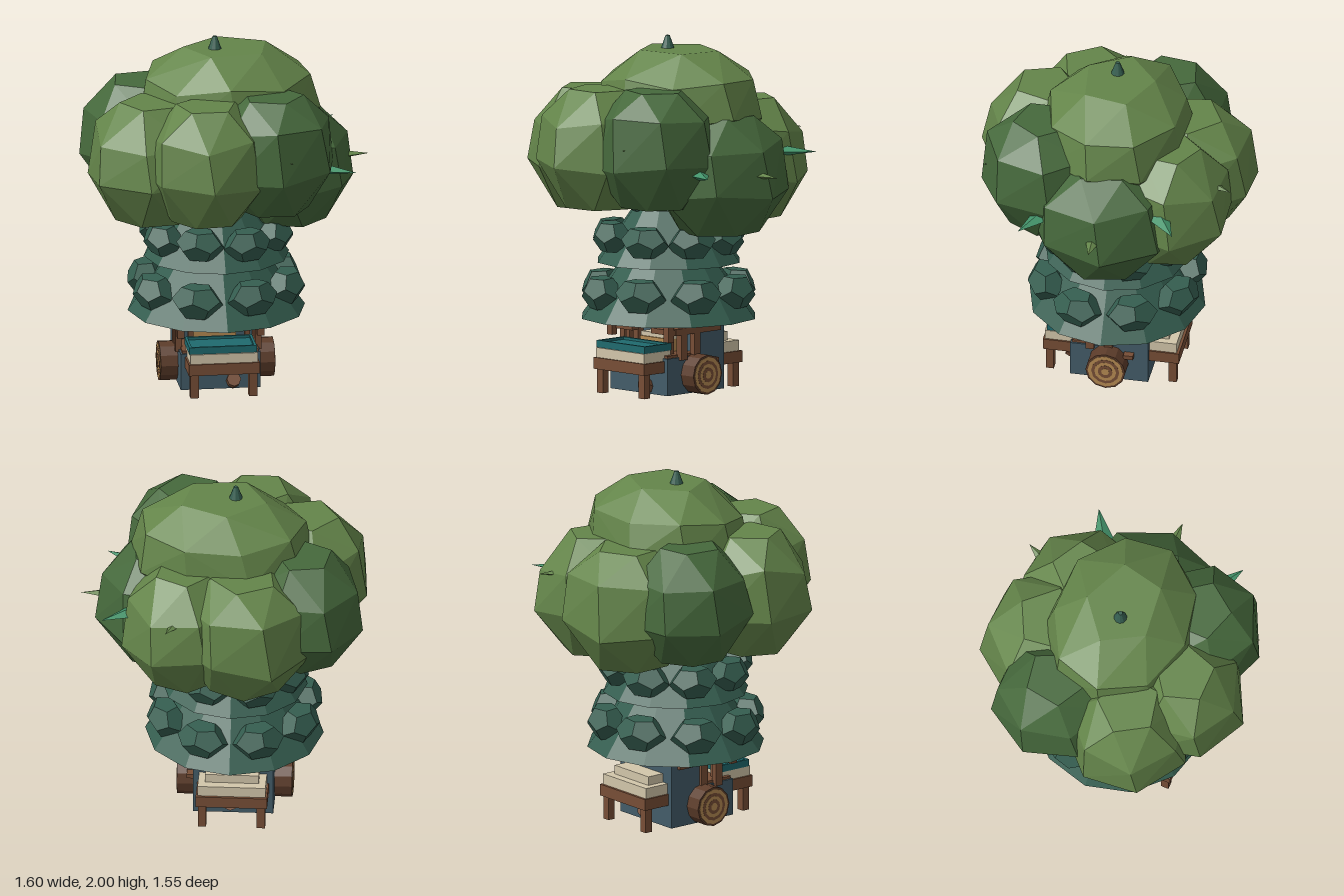
import * as THREE from 'three';
import { ConvexGeometry } from 'three/addons/geometries/ConvexGeometry.js';

const mat = (name, color) => {
  const m = new THREE.MeshStandardMaterial({ color, flatShading: true });
  m.name = name;
  return m;
};
const M = {
  light: mat('light foliage', 0x64854a),
  dark: mat('dark foliage', 0x46693c),
  sprout: mat('sprout green', 0x43936a),
  pine: mat('pine green', 0x355e50),
  slate: mat('slate blue', 0x435c69),
  cream: mat('cream', 0xd2c6aa),
  teal: mat('teal cushion', 0x1f6a6e),
  wood: mat('wood', 0x774e36),
  bark: mat('bark', 0x5c3c2a),
  tan: mat('cut wood', 0xb58a52),
};
const CX = -0.06, CZ = -0.018; // axis of the tree

export function createModel() {
  const model = new THREE.Group();
  model.name = 'treeHouse';
  let seed = 7;
  const rand = () => (seed = (seed * 16807) % 2147483647) / 2147483647;
  const jitter = (amount) => (rand() - 0.5) * 2 * amount;

  const add = (name, geo, material, x = 0, y = 0, z = 0, parent = model) => {
    const mesh = new THREE.Mesh(geo, material);
    mesh.name = name;
    mesh.position.set(x, y, z);
    parent.add(mesh);
    return mesh;
  };
  // box given by its limits on each axis
  const box = (name, material, x0, x1, y0, y1, z0, z1) =>
    add(name, new THREE.BoxGeometry(x1 - x0, y1 - y0, z1 - z0), material,
      (x0 + x1) / 2, (y0 + y1) / 2, (z0 + z1) / 2);

  // faceted foliage clump: hull of irregular rings with a flat top and bottom
  const clump = (name, material, x, y, z, rx, ry, rz, n, turn) => {
    const points = [];
    // height, width, corners, angular offset, irregularity
    [[0.95, 0.5, 5, 0.5, 0], [0.45, 0.93, n, 0.1, 0.06], [-0.25, 1.03, n, 0, 0.05], [-0.95, 0.58, n - 1, 0.4, 0]]
      .forEach(([h, w, count, offset, rough]) => {
        for (let i = 0; i < count; i++) {
          const a = THREE.MathUtils.degToRad(turn) + (i + offset) / count * Math.PI * 2;
          const r = w * (1 + jitter(rough * 0.4));
          points.push(new THREE.Vector3(Math.cos(a) * r * rx, (h + jitter(rough * 2)) * ry, Math.sin(a) * r * rz));
        }
      });
    add(name, new ConvexGeometry(points), material, x, y, z);
  };

  // foliage crown
  [
    ['crownTop', M.light, 0.005, 1.635, -0.03, 0.5, 0.31, 0.42, 9, 10],
    ['crownBackLeft', M.dark, -0.465, 1.37, -0.24, 0.33, 0.34, 0.35, 7, 189],
    ['crownBack', M.light, -0.14, 1.31, -0.41, 0.38, 0.355, 0.39, 7, 244],
    ['crownBackRight', M.light, 0.2, 1.31, -0.36, 0.34, 0.355, 0.36, 7, -62],
    ['crownSide', M.dark, 0.35, 1.26, -0.015, 0.36, 0.345, 0.4, 7, -7],
    ['crownFrontRight', M.dark, 0.21, 1.425, 0.35, 0.35, 0.345, 0.345, 7, 36],
    ['crownFront', M.light, -0.17, 1.4, 0.415, 0.35, 0.35, 0.345, 7, 90],
    ['crownFrontLeft', M.light, -0.45, 1.36, 0.2, 0.365, 0.355, 0.355, 7, 149],
  ].forEach((c) => clump(...c));

  // pointed leaves poking out of the crown
  [
    [0, 0.86, 1.28, M.light], [32, 0.85, 1.37, M.sprout], [-30, 0.85, 1.3, M.sprout],
    [64, 0.79, 1.45, M.light], [-64, 0.78, 1.45, M.light],
  ].forEach(([deg, reach, y, material]) => {
    const arm = new THREE.Group();
    arm.name = 'pointedLeaf';
    arm.position.set(CX, y, CZ);
    arm.rotation.y = THREE.MathUtils.degToRad(deg);
    model.add(arm);
    const leaf = add('leafBlade', new THREE.ConeGeometry(0.08, 0.26, 4), material, reach - 0.13, 0, 0, arm);
    leaf.rotation.z = -Math.PI / 2;
    leaf.scale.x = 0.5;
  });

  // pine skirts with knobbly branches lying on the slope
  const lump = new THREE.DodecahedronGeometry(1);
  const skirt = (y0, y1, r0, r1, lumpY, lumpR, size) => {
    add('pineSkirt', new THREE.CylinderGeometry(r1, r0, y1 - y0, 12), M.pine, CX, (y0 + y1) / 2, CZ);
    for (let i = 0; i < 8; i++) {
      const a = (i + 0.5) * Math.PI / 4;
      const knob = add('pineKnob', lump, M.pine,
        CX + Math.sin(a) * lumpR, lumpY + jitter(0.01), CZ + Math.cos(a) * lumpR);
      knob.rotation.set(-0.5, a, 0, 'YXZ');
      knob.scale.set(size, size * 0.72, size * 0.72);
    }
  };
  skirt(0.415, 0.8, 0.5, 0.22, 0.575, 0.405, 0.15);
  skirt(0.73, 1.12, 0.41, 0.14, 0.875, 0.345, 0.14);
  skirt(1.04, 1.4, 0.25, 0.06, 1.09, 0.18, 0.1);
  add('pineTip', new THREE.CylinderGeometry(0.012, 0.055, 0.12, 10), M.pine, CX - 0.008, 1.94, CZ);

  // hut: low front room and tall back wall
  box('hutBase', M.slate, -0.29, 0.16, 0.006, 0.215, -0.235, 0.21);
  box('hutBackWall', M.slate, -0.29, 0.16, 0.2, 0.43, -0.235, -0.03);
  for (const z of [0, 0.13]) box('floorPlank', M.bark, -0.24, 0.11, 0, 0.007, z - 0.028, z + 0.028);
  box('windowBoard', M.tan, -0.22, 0.0, 0.33, 0.385, -0.031, -0.022);
  box('windowRail', M.wood, -0.24, 0.1, 0.39, 0.41, -0.03, -0.01);
  box('innerShelf', M.cream, -0.2, 0.04, 0.3, 0.325, -0.03, 0.06);
  box('shelfSupport', M.tan, -0.2, 0.04, 0.23, 0.3, -0.03, 0.07);
  box('counterTop', M.wood, -0.28, 0.15, 0.215, 0.23, -0.03, 0.2);
  box('wallPeg', M.wood, 0.15, 0.2, 0.17, 0.195, -0.155, -0.1);

  // timber frame under the pine
  for (const s of [-1, 1]) {
    const x = -0.065 + s * 0.225;
    box('sideBeam', M.wood, x - 0.022, x + 0.022, 0.343, 0.38, -0.19, 0.165);
    for (const z of [0.095, -0.01]) box('framePost', M.wood, x - 0.018, x + 0.018, 0.2, 0.43, z - 0.024, z + 0.024);
    const px = -0.065 + s * 0.16;
    box('frontPost', M.wood, px - 0.015, px + 0.015, 0.21, 0.42, 0.11, 0.14);
    box('frontPeg', M.wood, x - 0.02, x + 0.02, 0.31, 0.4, 0.18, 0.22);
    box('frontRail', M.wood, px - 0.085, px + 0.085, 0.345, 0.375, 0.14, 0.19);
  }

  // logs on both sides with ringed ends
  for (const s of [-1, 1]) {
    const log = new THREE.Group();
    log.name = 'sideLog';
    log.position.set(-0.065 + s * 0.27, 0.115, -0.01);
    log.rotation.z = -s * Math.PI / 2;
    model.add(log);
    add('logBark', new THREE.CylinderGeometry(0.113, 0.113, 0.105, 12), M.bark, 0, 0, 0, log);
    [0.101, 0.08, 0.062, 0.042, 0.022].forEach((r, i) => add('growthRing',
      new THREE.CylinderGeometry(r, r, 0.004, 12), i % 2 ? M.wood : M.tan, 0, 0.0525 + i * 0.0012, 0, log));
  }

  // benches at front and back
  for (const s of [-1, 1]) {
    const zb = (name, m, x0, x1, y0, y1, a, b) =>
      box(name, m, x0, x1, y0, y1, Math.min(s * a, s * b), Math.max(s * a, s * b));
    const edge = s > 0 ? 0.37 : 0.405;
    zb('benchTop', M.wood, -0.265, 0.135, 0.135, 0.2, 0.2, edge);
    for (const x of [-0.23, 0.1]) zb('benchLeg', M.wood, x - 0.023, x + 0.023, 0, 0.14, edge - 0.06, edge - 0.015);
    if (s > 0) {
      zb('mattress', M.cream, -0.255, 0.125, 0.2, 0.255, 0.15, 0.36);
      zb('cushion', M.teal, -0.26, 0.12, 0.255, 0.28, 0.14, 0.35);
      for (const x of [-0.26, 0.105]) zb('cushionRim', M.teal, x, x + 0.015, 0.28, 0.295, 0.14, 0.35);
      for (const z of [0.14, 0.335]) zb('cushionRim', M.teal, -0.26, 0.12, 0.28, 0.295, z, z + 0.015);
    } else {
      zb('backMattress', M.cream, -0.255, 0.125, 0.2, 0.26, 0.23, 0.39);
      zb('backPillow', M.cream, -0.215, 0.085, 0.26, 0.31, 0.23, 0.34);
    }
    // short stump leaning against the base
    const stump = add('stump', new THREE.CylinderGeometry(0.04, 0.04, 0.08, 8), M.wood,
      s > 0 ? 0.005 : -0.05, 0.052, s * 0.213);
    stump.rotation.x = s * 1.1;
  }
  return model;
}
